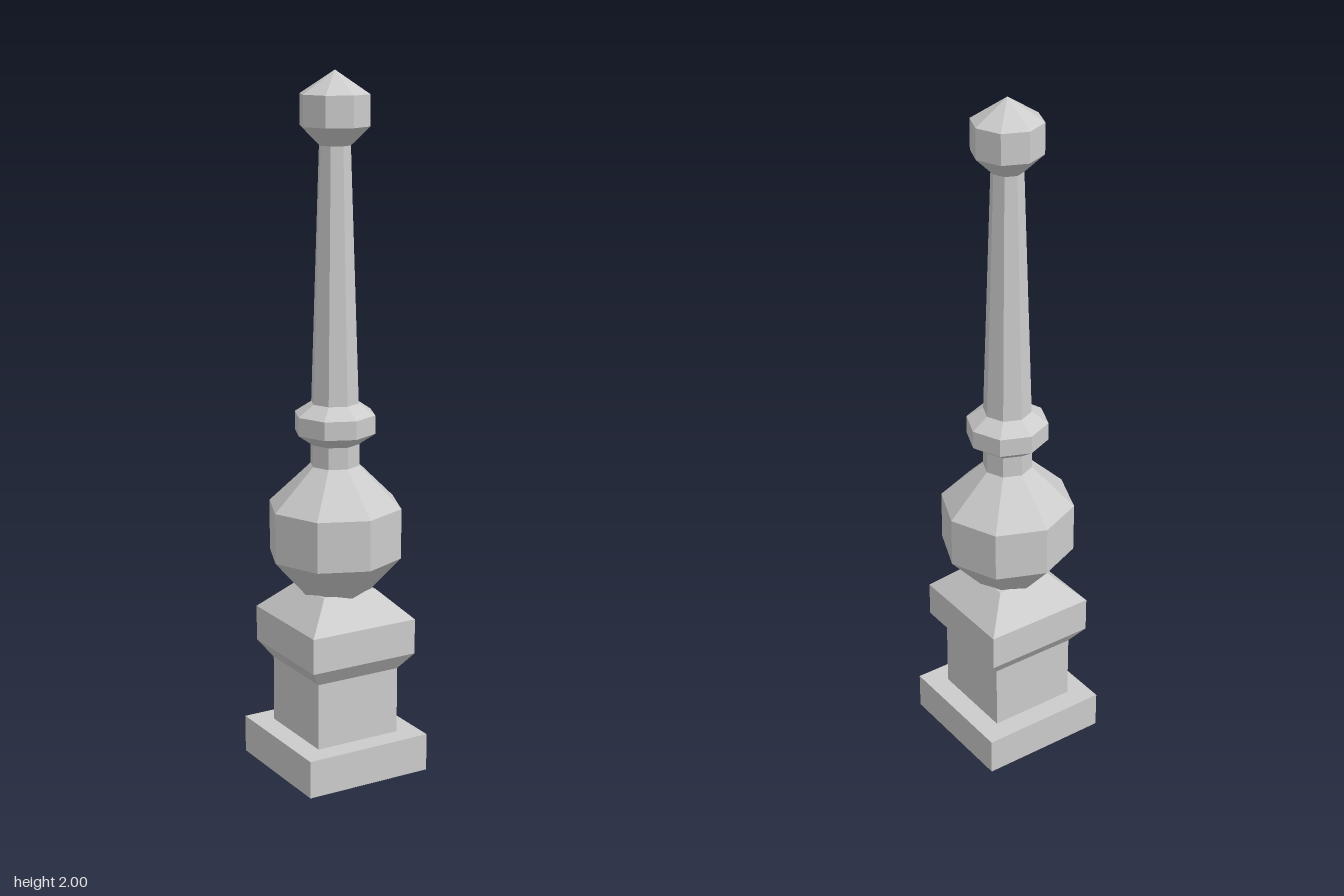
import * as THREE from 'three';

const material = new THREE.MeshStandardMaterial({ color: 0xcccccc, flatShading: true });

// Faceted turning from [radius, height] points, listed bottom to top
function turned(name, profile, sides, phase = 0) {
  const points = profile.map(([r, y]) => new THREE.Vector2(r, y));
  const mesh = new THREE.Mesh(new THREE.LatheGeometry(points, sides, phase), material);
  mesh.name = name;
  return mesh;
}

// Square section: profile radii are half-widths, faces square to the axes
const squared = (name, profile) =>
  turned(name, profile.map(([r, y]) => [r * Math.SQRT2, y]), 4, Math.PI / 4);

// Octagonal section with corners on the axes
const octagonal = (name, profile) => turned(name, profile, 8);

export function createModel() {
  const group = new THREE.Group();
  group.name = 'finialPost';
  group.add(
    // Square pedestal
    squared('plinth', [[0, 0], [0.194, 0], [0.194, 0.11], [0, 0.11]]),
    squared('pedestal', [[0.131, 0.11], [0.131, 0.305], [0.167, 0.355], [0.167, 0.458], [0.085, 0.54], [0, 0.54]]),
    // Octagonal turnings
    octagonal('ball', [[0, 0.51], [0.08, 0.51], [0.194, 0.637], [0.194, 0.783], [0.071, 0.902]]),
    octagonal('neck', [[0.071, 0.902], [0.071, 0.965]]),
    octagonal('collar', [[0.071, 0.965], [0.117, 0.997], [0.117, 1.05], [0.069, 1.082]]),
    octagonal('shaft', [[0.069, 1.082], [0.045, 1.798]]),
    octagonal('finial', [[0.045, 1.798], [0.099, 1.85], [0.099, 1.936], [0, 2]]),
  );
  return group;
}
